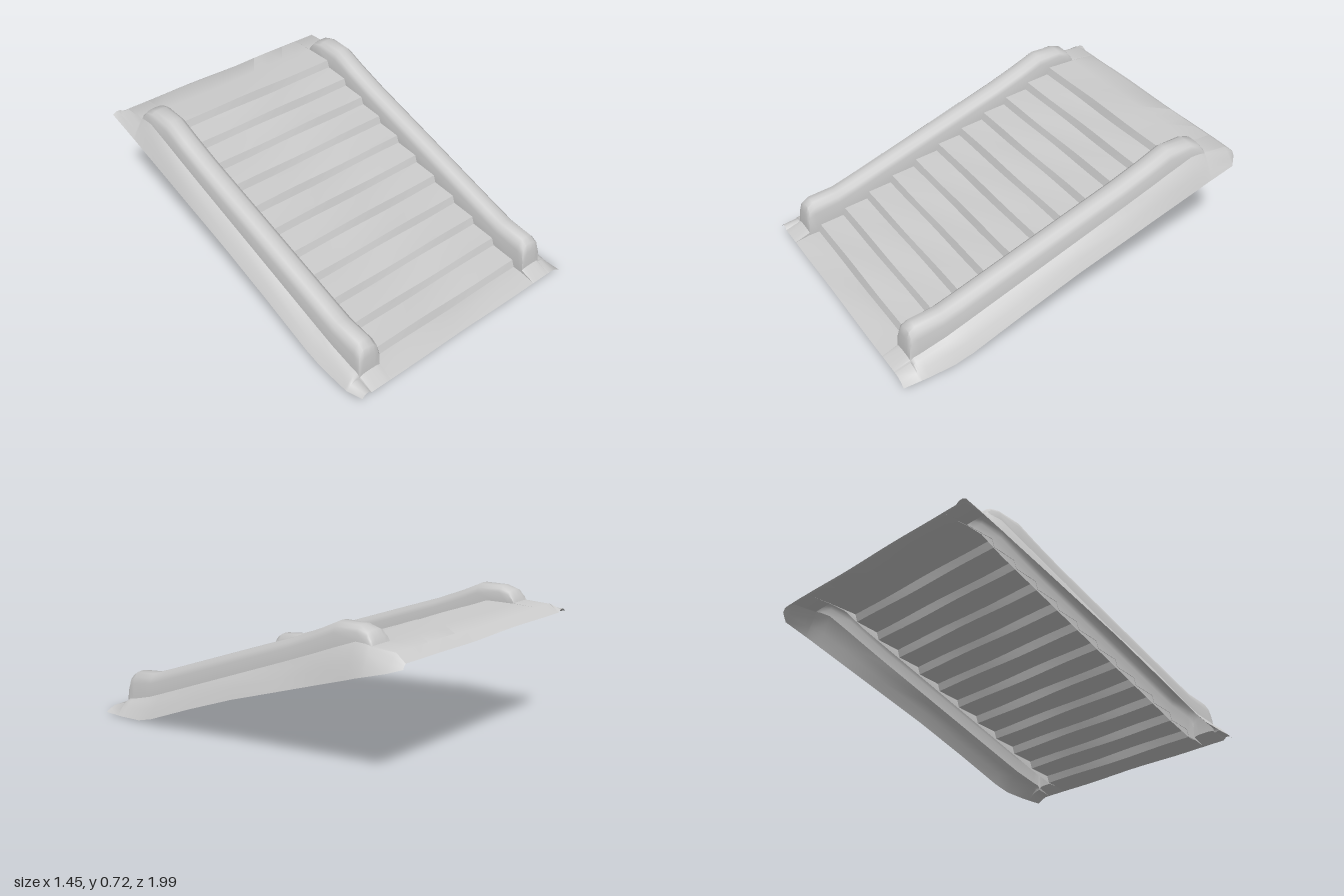
import * as THREE from 'three';
import { toCreasedNormals } from 'three/addons/utils/BufferGeometryUtils.js';

const material = new THREE.MeshStandardMaterial({ color: 0xcccccc, side: THREE.DoubleSide });

// Slight skew of the whole flight: the left side is a little higher and further forward
function warp([x, y, z]) {
  return [x, Math.max(0, y - 0.02 * x), THREE.MathUtils.clamp(z - 0.03 * x, -1, 1)];
}

// Open surface through rows of points (rows run towards +z, columns towards +x)
function sheet(name, rows, crease) {
  const n = rows[0].length, index = [];
  for (let i = 0; i < rows.length - 1; i++) {
    for (let j = 0; j < n - 1; j++) {
      const a = i * n + j, c = a + n;
      index.push(a, c, a + 1, a + 1, c, c + 1);
    }
  }
  let geometry = new THREE.BufferGeometry();
  geometry.setAttribute('position', new THREE.Float32BufferAttribute(rows.flat().flatMap(warp), 3));
  geometry.setIndex(index);
  geometry = toCreasedNormals(geometry, crease);
  const mesh = new THREE.Mesh(geometry, material);
  mesh.name = name;
  return mesh;
}

// Plan curves of the rail centre and the outer hem of the skirt
const railX = (s, z) => (s > 0 ? 0.553 + 0.02 * z : -0.574 + 0.026 * z);
const hemX = (s, z) => (s > 0 ? 0.694 + 0.028 * z : -0.71 + 0.02 * z);
const RAIL_HALF = 0.061;

// Stations along each side: z, rail top, base, hem height
const stations = [
  [-0.985, 0.59, 0.59, 0.578], [-0.93, 0.628, 0.628, 0.563], [-0.8, 0.635, 0.63, 0.525],
  [-0.79, 0.66, 0.63, 0.522], [-0.765, 0.692, 0.628, 0.515], [-0.71, 0.709, 0.625, 0.497],
  [-0.58, 0.709, 0.566, 0.457], [-0.46, 0.655, 0.522, 0.42], [-0.3, 0.592, 0.464, 0.37],
  [0, 0.49, 0.355, 0.277], [0.3, 0.387, 0.246, 0.172], [0.6, 0.284, 0.137, 0.06],
  [0.7, 0.252, 0.101, 0.034], [0.84, 0.237, 0.058, 0.022], [0.872, 0.215, 0.056, 0.021],
  [0.884, 0.17, 0.056, 0.021], [0.888, 0.08, 0.058, 0.021], [0.97, 0.042, 0.042, 0.025],
];

// Rail cross-section: offset from the centre (inner to outer) and height fraction
const section = [[-1, 0], [-1, 0.66], [-0.85, 0.85], [-0.5, 0.98], [0, 1], [0.5, 0.98], [0.85, 0.85], [1, 0.66], [1.08, 0.2]];

function side(s) {
  const rail = [], skirt = [];
  stations.forEach(([z, top, base, hem], i) => {
    const cx = railX(s, z);
    const row = section.map(([u, f]) => [cx + s * u * RAIL_HALF, base + (top - base) * f, z]);
    const start = row[row.length - 1];
    // Corners of the hem are clipped at the back of the left side and front of the right side
    let ex = hemX(s, z);
    if (s > 0 && i === 0) ex -= 0.05;
    if (s < 0 && i === stations.length - 1) ex += 0.02;
    const ey = hem - s * 0.012;
    const strip = [0, 0.3, 0.65, 1].map((t) => [
      THREE.MathUtils.lerp(start[0], ex, t),
      THREE.MathUtils.lerp(start[1], ey, t) + 0.012 * Math.sin(Math.PI * t) * (1 + 0.6 * Math.sin(9 * z + s)),
      z,
    ]);
    rail.push(s > 0 ? row : row.reverse());
    skirt.push(s > 0 ? strip : strip.reverse());
  });
  const label = s > 0 ? 'left' : 'right';
  const group = new THREE.Group();
  group.name = label + 'Side';
  group.add(sheet(label + 'Rail', rail, 0.9), sheet(label + 'Skirt', skirt, 0.9));
  return group;
}

// Stair profile: back landing, eleven risers with slightly sloping treads, front apron
function stairs() {
  const profile = [[-0.985, 0.59], [-0.93, 0.628], [-0.8, 0.632]];
  const steps = 11, run = 0.146, rise = 0.053, slope = 0.014;
  for (let k = 0; k < steps; k++) {
    const z = -0.64 + k * run, y = 0.63 - k * rise;
    profile.push([z, y], [z + 0.014, y - rise + slope]);
    if (k < steps - 1) profile.push([z + 0.08, y - rise + slope * 0.5]);
  }
  profile.push([0.888, 0.058], [0.97, 0.042]);
  const columns = 10;
  const rows = profile.map(([z, y], i) => {
    const inner = (s) => railX(s, z) - s * (RAIL_HALF - 0.002);
    return Array.from({ length: columns + 1 }, (_, j) => {
      const t = j / columns;
      // Worn, slightly uneven surface
      const wear = 0.004 * Math.sin(Math.PI * t) * Math.sin(7 * t + 1.7 * i);
      return [THREE.MathUtils.lerp(inner(-1), inner(1), t), y + wear, z];
    });
  });
  return sheet('stairs', rows, 0.6);
}

export function createModel() {
  const model = new THREE.Group();
  model.name = 'stairway';
  model.add(stairs(), side(1), side(-1));
  return model;
}
